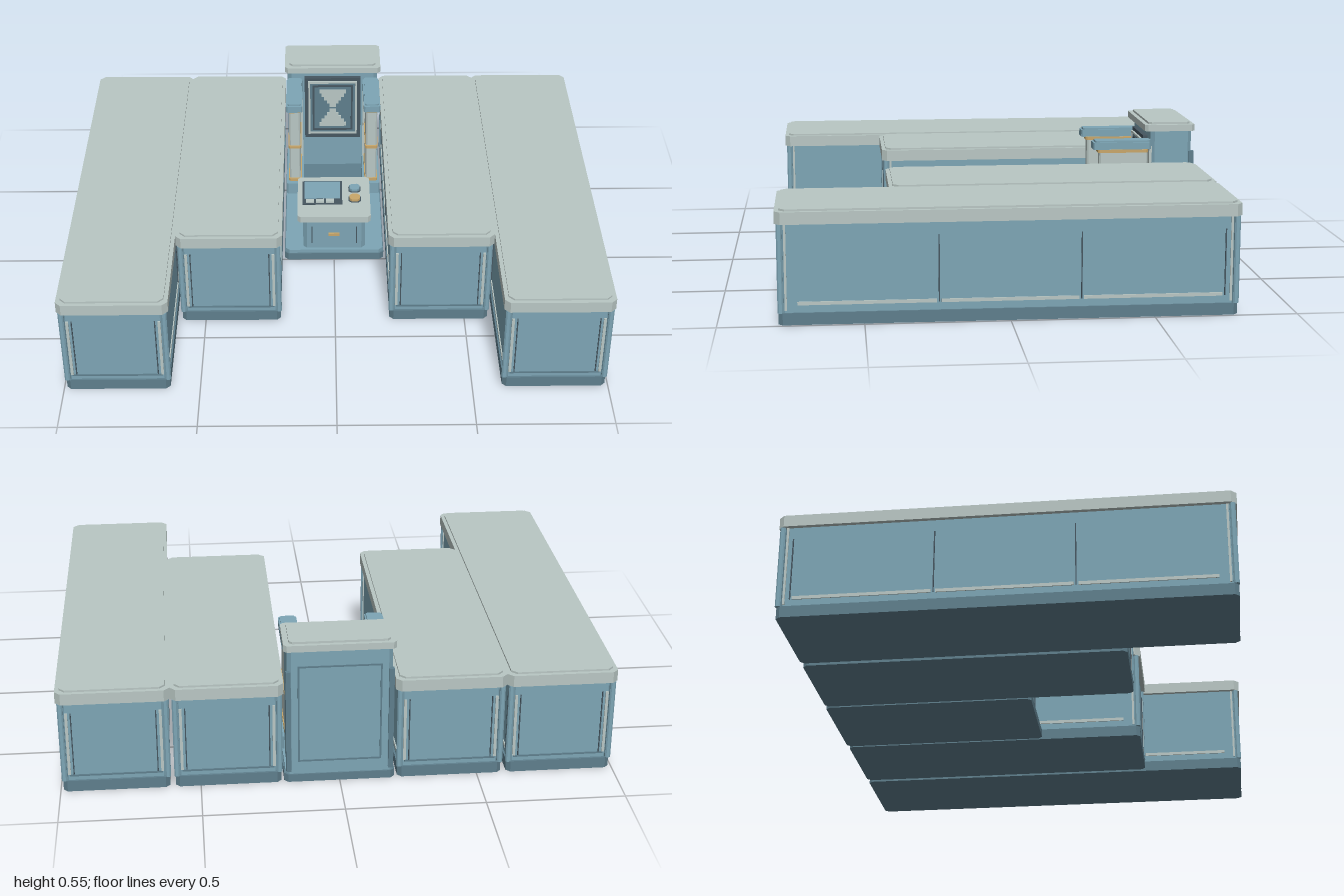
import * as THREE from 'three';

const mat = (name, color) => {
  const m = new THREE.MeshStandardMaterial({ color });
  m.name = name;
  return m;
};
const light = mat('pale grey', 0xb9c7c4);
const blue = mat('steel blue', 0x7da5b5);
const slate = mat('slate blue', 0x5f7f8d);
const dark = mat('dark slate', 0x465660);
const gold = mat('brass', 0xc9a76a);

function add(parent, name, geo, material) {
  const m = new THREE.Mesh(geo, material);
  m.name = name;
  parent.add(m);
  return m;
}

// Plain box given by its limits
function box(parent, name, material, x0, x1, y0, y1, z0, z1) {
  const m = add(parent, name, new THREE.BoxGeometry(x1 - x0, y1 - y0, z1 - z0), material);
  m.position.set((x0 + x1) / 2, (y0 + y1) / 2, (z0 + z1) / 2);
  return m;
}

// Upright block with its four vertical edges cut off by c
function block(parent, name, material, x0, x1, y0, y1, z0, z1, c = 0.015) {
  const s = new THREE.Shape([
    [x0 + c, -z1], [x1 - c, -z1], [x1, -z1 + c], [x1, -z0 - c],
    [x1 - c, -z0], [x0 + c, -z0], [x0, -z0 - c], [x0, -z1 + c],
  ].map(([x, y]) => new THREE.Vector2(x, y)));
  const g = new THREE.ExtrudeGeometry(s, { depth: y1 - y0, bevelEnabled: false });
  g.rotateX(-Math.PI / 2).translate(0, y0, 0);
  return add(parent, name, g, material);
}

// Flat rectangular frame facing +z
function frame(parent, name, material, w, h, t, x, y, z, depth) {
  const rect = (P, a, b) => new P([[-a, -b], [a, -b], [a, b], [-a, b]].map(([p, q]) => new THREE.Vector2(p, q)));
  const s = rect(THREE.Shape, w / 2, h / 2);
  s.holes.push(rect(THREE.Path, w / 2 - t, h / 2 - t));
  const m = add(parent, name, new THREE.ExtrudeGeometry(s, { depth, bevelEnabled: false }), material);
  m.position.set(x, y, z);
  return m;
}

// Counter with plinth, body, worktop, trims and panel seams
function counter(name, cx, z0, z1, seams) {
  const g = new THREE.Group();
  g.name = name;
  const x0 = cx - 0.2, x1 = cx + 0.2;
  block(g, 'plinth', slate, x0 + 0.01, x1 - 0.01, 0, 0.042, z0 + 0.008, z1 - 0.008);
  block(g, 'body', blue, x0 + 0.016, x1 - 0.016, 0.042, 0.35, z0 + 0.016, z1 - 0.016);
  block(g, 'worktopEdge', light, x0, x1, 0.35, 0.393, z0, z1, 0.02);
  block(g, 'worktop', light, x0 + 0.015, x1 - 0.015, 0.393, 0.4, z0 + 0.015, z1 - 0.015, 0.02);
  for (const sx of [-1, 1]) {
    // Corner posts
    for (const z of [z0 + 0.016, z1 - 0.016]) {
      const px = cx + sx * 0.184;
      block(g, 'cornerPost', blue, px - 0.01, px + 0.01, 0.042, 0.35, z - 0.01, z + 0.01, 0.005);
    }
    // Trims on the long sides
    const fx = cx + sx * 0.185;
    const side = (n, m, a, b, c, d) => box(g, n, m, fx - 0.003, fx + 0.003, a, b, c, d);
    side('sideTrim', light, 0.05, 0.35, z0 + 0.03, z0 + 0.038);
    side('sideTrim', light, 0.05, 0.35, z1 - 0.038, z1 - 0.03);
    const stops = [z0 + 0.055, ...seams, z1 - 0.065];
    for (let i = 0; i + 1 < stops.length; i++) {
      side('kickStrip', light, 0.068, 0.08, stops[i] + 0.008, stops[i + 1] - 0.008);
      side('panelSeam', dark, 0.07, 0.305, stops[i] - 0.002, stops[i] + 0.002);
    }
    // Trims on both ends
    for (const z of [z0 + 0.015, z1 - 0.015]) {
      const tx = cx + sx * 0.165, dx = cx + sx * 0.149;
      box(g, 'endTrim', light, tx - 0.005, tx + 0.005, 0.065, 0.31, z - 0.004, z + 0.004);
      box(g, 'endSeam', dark, dx - 0.002, dx + 0.002, 0.065, 0.31, z - 0.003, z + 0.003);
    }
  }
  for (const z of [z0 + 0.015, z1 - 0.015])
    box(g, 'endRail', slate, cx - 0.165, cx + 0.165, 0.058, 0.064, z - 0.003, z + 0.003);
  return g;
}

// Tower with lit display at the back of the station
function tower() {
  const g = new THREE.Group();
  g.name = 'tower';
  block(g, 'towerBody', blue, -0.188, 0.188, 0.042, 0.52, -0.79, -0.63);
  block(g, 'towerCap', light, -0.2, 0.2, 0.52, 0.545, -0.8, -0.605, 0.012);
  block(g, 'towerCapTop', light, -0.18, 0.18, 0.545, 0.553, -0.785, -0.622, 0.012);
  // Back panel outline
  frame(g, 'backPanel', slate, 0.3, 0.38, 0.006, 0, 0.27, -0.793, 0.005);
  for (const s of [-1, 1])
    box(g, 'backPost', slate, s * 0.184 - 0.009, s * 0.184 + 0.009, 0.042, 0.44, -0.798, -0.78);
  // Display
  box(g, 'displayCase', dark, -0.118, 0.118, 0.2, 0.492, -0.632, -0.612);
  box(g, 'displayGlass', slate, -0.1, 0.1, 0.225, 0.475, -0.613, -0.609);
  frame(g, 'displayFrame', light, 0.206, 0.256, 0.008, 0, 0.35, -0.612, 0.008);
  frame(g, 'displayInner', dark, 0.17, 0.22, 0.008, 0, 0.35, -0.61, 0.004);
  // Stepped hourglass sign
  [0.056, 0.048, 0.036, 0.024, 0.014].forEach((w, i) => {
    for (const s of [-1, 1]) {
      const y = 0.35 + s * (0.08 - i * 0.0165);
      box(g, 'hourglassStep', light, -w, w, y - 0.0085, y + 0.0085, -0.61, -0.604);
    }
  });
  return g;
}

// Pillar with brass bands and a blue cap
function pillar(s) {
  const g = new THREE.Group();
  g.name = s > 0 ? 'leftPillar' : 'rightPillar';
  const part = (n, m, w, y0, y1, z0, z1, c = 0.006) =>
    block(g, n, m, s * 0.16 - w, s * 0.16 + w, y0, y1, z0, z1, c);
  part('pillarFoot', blue, 0.036, 0.042, 0.095, -0.63, -0.41);
  part('pillarShaft', light, 0.023, 0.095, 0.45, -0.62, -0.43);
  for (const y of [0.1, 0.262, 0.436]) part('brassBand', gold, 0.027, y, y + 0.012, -0.62, -0.424);
  part('pillarCap', blue, 0.034, 0.45, 0.477, -0.63, -0.405);
  part('pillarCapTop', blue, 0.028, 0.477, 0.484, -0.63, -0.413);
  box(g, 'towerSideTrim', light, s * 0.155 - 0.028, s * 0.155 + 0.028, 0.06, 0.46, -0.635, -0.625);
  return g;
}

// Control desk
function desk() {
  const g = new THREE.Group();
  g.name = 'controlDesk';
  block(g, 'deskBody', blue, -0.125, 0.125, 0.042, 0.18, -0.27, -0.018);
  block(g, 'deskTop', light, -0.147, 0.147, 0.18, 0.207, -0.29, -0.003, 0.012);
  box(g, 'screenBezel', dark, -0.128, 0.034, 0.205, 0.211, -0.255, -0.09);
  box(g, 'screen', blue, -0.12, 0.026, 0.208, 0.214, -0.247, -0.127);
  for (const x of [-0.096, -0.056, -0.016])
    box(g, 'key', light, x - 0.016, x + 0.016, 0.208, 0.217, -0.118, -0.097);
  [[blue, -0.2], [gold, -0.128]].forEach(([m, z]) => {
    block(g, 'buttonRim', dark, 0.06, 0.11, 0.205, 0.21, z - 0.025, z + 0.025, 0.012);
    block(g, 'button', m, 0.064, 0.106, 0.21, 0.22, z - 0.021, z + 0.021, 0.01);
  });
  // Front door
  for (const x of [-0.09, 0.09])
    box(g, 'doorSeam', dark, x - 0.002, x + 0.002, 0.07, 0.15, -0.02, -0.015);
  box(g, 'doorHandle', gold, -0.022, 0.022, 0.109, 0.121, -0.02, -0.008);
  return g;
}

export function createModel() {
  const model = new THREE.Group();
  model.name = 'serviceCounter';
  for (const s of [-1, 1]) {
    const side = s > 0 ? 'left' : 'right';
    model.add(counter(side + 'OuterCounter', s * 0.8, -0.8, 0.8, [-0.245, 0.245]));
    model.add(counter(side + 'InnerCounter', s * 0.4, -0.8, 0.4, [-0.2]));
  }
  // Middle station
  const station = new THREE.Group();
  station.name = 'station';
  block(station, 'stationPlinth', slate, -0.2, 0.2, 0, 0.03, -0.795, 0);
  block(station, 'stationBase', blue, -0.196, 0.196, 0.03, 0.045, -0.79, -0.004);
  box(station, 'floorPlate', slate, -0.13, 0.13, 0.043, 0.05, -0.63, -0.27);
  station.add(tower(), pillar(-1), pillar(1), desk());
  model.add(station);
  return model;
}
